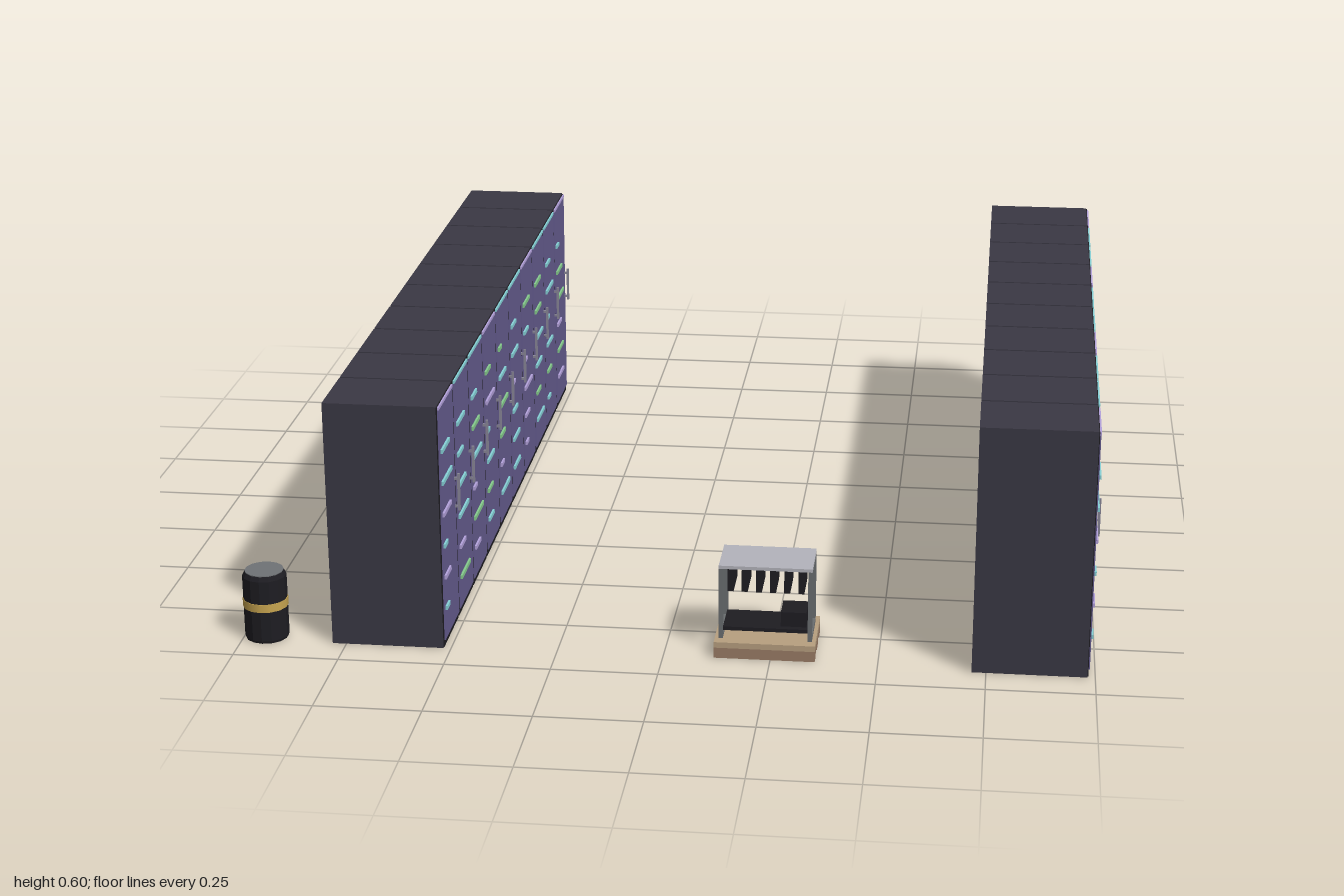
import * as THREE from 'three';

const mat = (color) => new THREE.MeshStandardMaterial({ color });
const M = {
  body: mat(0x3a3844), door: mat(0x665d90), dark: mat(0x1e1d22), handle: mat(0x8a8798),
  c: mat(0x86d2d8), g: mat(0x86cc8e), l: mat(0xb4a2dc),
  wood: mat(0xb8a080), runner: mat(0x9a7c66), metal: mat(0x6a6e70), panel: mat(0xb4b4bc),
  gold: mat(0xc8a550), lid: mat(0x707376),
};

// Box given by its min and max corners
function box(parent, name, material, x0, x1, y0, y1, z0, z1) {
  const mesh = new THREE.Mesh(new THREE.BoxGeometry(x1 - x0, y1 - y0, z1 - z0), material);
  mesh.position.set((x0 + x1) / 2, (y0 + y1) / 2, (z0 + z1) / 2);
  mesh.name = name;
  parent.add(mesh);
  return mesh;
}

// Indicator bars, top to bottom: length step and colour (c cyan, g green, l lilac)
const LIGHTS = [
  '3c4c3l1c2l1c', '3c2c3c4c2l4g', '2c3g4c1l4g2l', '2g4l1c3c2g2c', '1g3c4g2g1l4c',
  '2c3c1l2c3c3c', '3g2c1l4l2l1l', '3g3g4c3c2g4c', '2c4c1c3c2g1c', '1c3g4g2l3g3l',
];
const BAR_LENGTH = [0, 0.037, 0.062, 0.088, 0.11];

// One cabinet with its door facing +x; origin at floor centre
function createCabinet(index) {
  const g = new THREE.Group();
  g.name = 'cabinet';
  const w = 0.0895;
  box(g, 'cabinetBody', M.body, -0.135, 0.13, 0, 0.6, -w, w);
  box(g, 'doorFrame', M.dark, 0.129, 0.132, 0.002, 0.598, -w + 0.001, w - 0.001);
  box(g, 'door', M.door, 0.131, 0.135, 0.018, 0.59, -w + 0.006, w - 0.006);
  box(g, 'topLight', index % 3 ? M.c : M.l, 0.131, 0.136, 0.59, 0.597, -w + 0.006, w - 0.006);
  const code = LIGHTS[index];
  for (let i = 0; i < 6; i++) {
    const y = 0.486 - i * 0.078, z = 0.075;
    box(g, 'indicatorBar', M[code[i * 2 + 1]], 0.134, 0.14, y - 0.005, y + 0.005,
      z - BAR_LENGTH[+code[i * 2]], z);
  }
  // Handle on two stand-offs
  box(g, 'handle', M.handle, 0.142, 0.148, 0.285, 0.378, -0.076, -0.07);
  for (const y of [0.295, 0.365])
    box(g, 'handleMount', M.handle, 0.134, 0.144, y - 0.003, y + 0.003, -0.076, -0.07);
  return g;
}

function createBarrel() {
  const g = new THREE.Group();
  g.name = 'barrel';
  const profile = [[0, 0], [0.05, 0], [0.052, 0.006], [0.052, 0.157], [0.046, 0.168], [0, 0.168]];
  const geo = new THREE.LatheGeometry(profile.map(([r, y]) => new THREE.Vector2(r, y)), 14).toNonIndexed();
  geo.computeVertexNormals();
  const body = new THREE.Mesh(geo, M.dark);
  body.name = 'barrelBody';
  const band = new THREE.Mesh(new THREE.CylinderGeometry(0.0535, 0.0535, 0.02, 14), M.gold);
  band.name = 'barrelBand';
  band.position.y = 0.09;
  const lid = new THREE.Mesh(new THREE.CylinderGeometry(0.046, 0.046, 0.004, 14), M.lid);
  lid.name = 'barrelLid';
  lid.position.y = 0.168;
  g.add(body, band, lid);
  return g;
}

// Open rack standing on a wooden pallet
function createPalletRack() {
  const g = new THREE.Group();
  g.name = 'palletRack';
  for (const z of [-0.07, 0, 0.07])
    box(g, 'palletRunner', M.runner, -0.118, 0.118, 0, 0.026, z - 0.017, z + 0.017);
  box(g, 'palletDeck', M.wood, -0.118, 0.118, 0.026, 0.04, -0.088, 0.088);
  for (const x of [-0.104, 0.104]) {
    for (const z of [-0.058, 0.058])
      box(g, 'post', M.metal, x - 0.005, x + 0.005, 0.04, 0.215, z - 0.005, z + 0.005);
    box(g, 'sideRail', M.metal, x - 0.005, x + 0.005, 0.04, 0.05, -0.058, 0.058);
  }
  box(g, 'roofPanel', M.panel, -0.109, 0.109, 0.215, 0.223, -0.064, 0.064);
  box(g, 'floorTray', M.dark, -0.1, 0.1, 0.055, 0.064, -0.05, 0.05);
  box(g, 'equipmentBox', M.dark, 0.034, 0.094, 0.064, 0.1, -0.035, 0.035);
  // Row of hanging fins
  for (let i = 0; i < 6; i++) {
    const x = -0.083 + i * 0.033;
    box(g, 'hangingFin', M.dark, x - 0.007, x + 0.007, 0.152, 0.216, -0.045, 0.045);
  }
  return g;
}

export function createModel() {
  const model = new THREE.Group();
  model.name = 'equipmentHall';

  // Two parallel rows of ten cabinets
  for (const [name, x] of [['rightRow', -0.648], ['leftRow', 0.852]]) {
    const row = new THREE.Group();
    row.name = name;
    for (let i = 0; i < 10; i++) {
      const cabinet = createCabinet(i);
      cabinet.position.set(x, 0, 0.821 - i * 0.186);
      row.add(cabinet);
    }
    model.add(row);
  }

  const barrel = createBarrel();
  barrel.position.set(-0.947, 0, 0.883);
  const rack = createPalletRack();
  rack.position.set(0.236, 0, 0.808);
  model.add(barrel, rack);
  return model;
}
